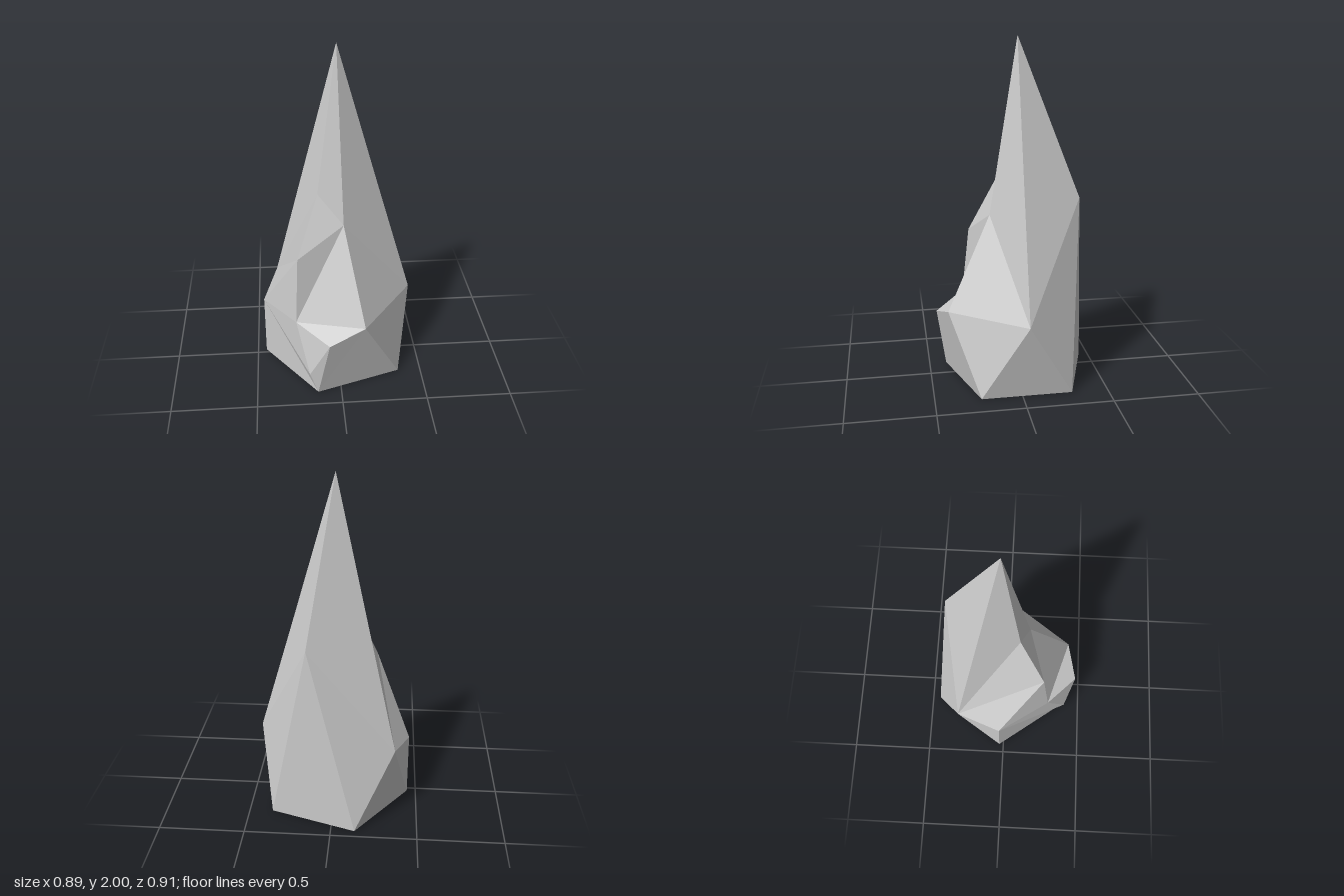
import * as THREE from 'three';

// Faceted crystal shard: pentagonal base, staggered shoulder ring, chipped front, single tip.
const CENTRE_Z = -0.027;
const RADIUS = 0.447;

// Point on the vertical pentagonal cylinder at a given angle and height
function onRing(degrees, y, radius = RADIUS) {
  const a = THREE.MathUtils.degToRad(degrees);
  return new THREE.Vector3(radius * Math.cos(a), y, CENTRE_Z + radius * Math.sin(a));
}

function crystalGeometry() {
  const v = (x, y, z) => new THREE.Vector3(x, y, z);
  const p = {
    tip: v(0, 2, CENTRE_Z),
    // shoulder ring, half a step round from the base
    sideR: onRing(0, 0.45),
    frontR: onRing(72, 0.45),
    backL: onRing(-144, 0.45),
    backR: v(0.14, 1.1, -0.362),
    sideL: onRing(180, 0.39),
    // front cut
    neck: v(-0.115, 1.165, 0.085),
    neckR: v(0.03, 0.99, 0.14),
    ridge: v(0.235, 1.18, CENTRE_Z),
    cutTop: v(-0.24, 0.83, 0.235),
    cutLow: v(-0.257, 0.43, 0.277),
    // small chip above the base
    chip: v(-0.072, 0.375, 0.453),
    chipLow: v(-0.186, 0.135, 0.396),
  };
  for (let i = 0; i < 5; i++) p['b' + i] = onRing(-36 - 72 * i, 0);

  // Each face is a fan around its first point
  const faces = [
    // upper spire
    'tip backR backL', 'tip backL neck', 'tip neck neckR', 'tip neckR ridge', 'backR tip ridge sideR',
    // front cut
    'neckR neck cutTop cutLow frontR', 'neckR frontR sideR ridge',
    // left flank
    'backL neck cutTop', 'backL cutTop sideL', 'sideL cutTop cutLow',
    'sideL cutLow chipLow b3 b2',
    // chip
    'chip frontR cutLow', 'chip cutLow chipLow', 'chip chipLow b3', 'chip b3 frontR',
    // lower sides
    'backL sideL b2 b1', 'backL b1 backR', 'backR b1 b0', 'backR b0 sideR',
    'sideR b0 b4', 'sideR b4 frontR', 'frontR b4 b3',
    // underside
    'b0 b1 b2 b3 b4',
  ];

  const core = v(0, 0.3, CENTRE_Z);
  const points = [];
  for (const face of faces) {
    const c = face.split(' ').map((name) => p[name]);
    for (let i = 1; i < c.length - 1; i++) {
      const tri = new THREE.Triangle(c[0], c[i], c[i + 1]);
      const normal = tri.getNormal(new THREE.Vector3());
      const outward = tri.getMidpoint(new THREE.Vector3()).sub(core);
      // wind every triangle to face away from the core
      if (normal.dot(outward) < 0) points.push(tri.a, tri.c, tri.b);
      else points.push(tri.a, tri.b, tri.c);
    }
  }
  const geometry = new THREE.BufferGeometry().setFromPoints(points);
  geometry.computeVertexNormals();
  return geometry;
}

export function createModel() {
  const group = new THREE.Group();
  group.name = 'crystalShard';
  const material = new THREE.MeshStandardMaterial({ color: 0xcccccc, flatShading: true });
  const crystal = new THREE.Mesh(crystalGeometry(), material);
  crystal.name = 'crystal';
  group.add(crystal);
  return group;
}
